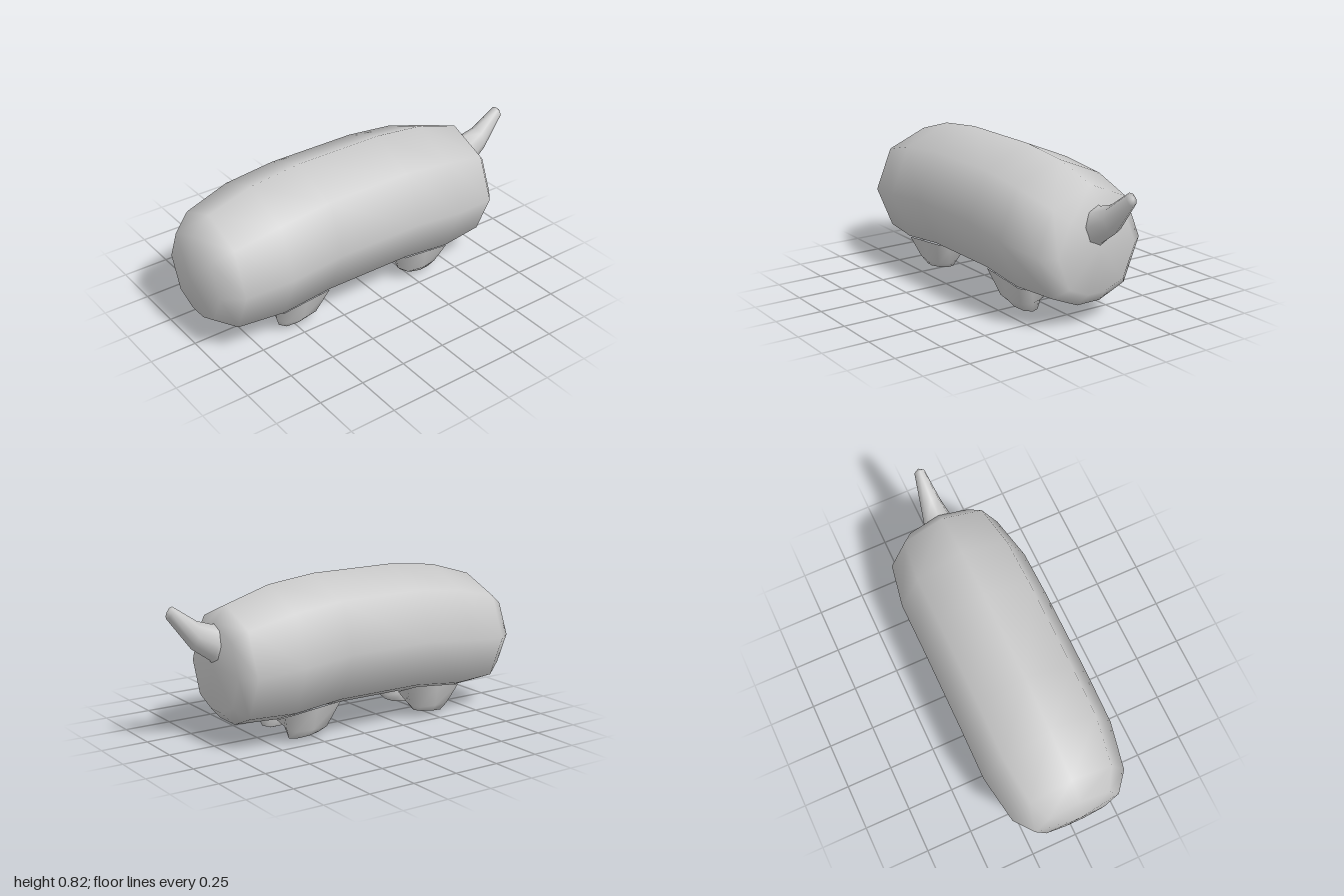
import * as THREE from 'three';

// Smooth skin over rings of [x, y, z] points, closed by a centre point at each given end.
function loft(name, rings, start, end) {
  const n = rings[0].length, pos = rings.flat(2), idx = [];
  for (let i = 0; i < rings.length - 1; i++) {
    for (let j = 0; j < n; j++) {
      const k = (j + 1) % n, a = i * n + j, b = i * n + k;
      idx.push(a, a + n, b, b, a + n, b + n);
    }
  }
  const cap = (centre, base, flip) => {
    const c = pos.length / 3;
    pos.push(...centre);
    for (let j = 0; j < n; j++) {
      const a = base + j, b = base + (j + 1) % n;
      idx.push(c, flip ? b : a, flip ? a : b);
    }
  };
  if (start) cap(start, 0, false);
  if (end) cap(end, (rings.length - 1) * n, true);
  const g = new THREE.BufferGeometry();
  g.setAttribute('position', new THREE.Float32BufferAttribute(pos, 3));
  g.setIndex(idx);
  g.computeVertexNormals();
  const mesh = new THREE.Mesh(g, new THREE.MeshStandardMaterial({ color: 0xcccccc }));
  mesh.name = name;
  return mesh;
}

// Body: octagons with the lowest corner cut flat, [z, centre height, radius]
function makeBody() {
  const sections = [
    [0.97, 0.40, 0.235], [0.87, 0.405, 0.315], [0.62, 0.435, 0.36], [0.34, 0.465, 0.36],
    [-0.15, 0.465, 0.36], [-0.42, 0.435, 0.36], [-0.67, 0.405, 0.315], [-0.735, 0.40, 0.235],
  ];
  const rings = sections.map(([z, cy, r]) => {
    const ring = [];
    for (let k = 0; k < 8; k++) {
      const a = k * Math.PI / 4;
      if (k === 6) {
        const w = 0.22 * r, y = cy - 0.91 * r;
        ring.push([-w, y, z], [w, y, z]);
      } else ring.push([r * Math.cos(a), cy + r * Math.sin(a), z]);
    }
    return ring;
  });
  return loft('body', rings, [0, 0.40, 1.0], [0, 0.43, -0.755]);
}

// Tail: tilted ovals, [top y, top z, bottom y, bottom z, half width]
function makeTail() {
  const sections = [
    [0.64, -0.71, 0.41, -0.735, 0.085], [0.63, -0.745, 0.45, -0.765, 0.078],
    [0.657, -0.83, 0.52, -0.865, 0.056], [0.745, -0.96, 0.685, -0.992, 0.028],
  ];
  const rings = sections.map(([ty, tz, by, bz, w]) =>
    Array.from({ length: 8 }, (_, k) => {
      const a = k * Math.PI / 4, t = (1 + Math.sin(a)) / 2;
      return [w * Math.cos(a), by + (ty - by) * t, bz + (tz - bz) * t];
    }));
  return loft('tail', rings, null, [0, 0.722, -0.99]);
}

// Leg: three rounded rectangles shrinking to a low foot, mirrored for each corner
function makeLeg(name, side, front) {
  const steps = [
    [0.08, 0.25, 0.34, 0.62, 1, (x, z) => 0.133 + 0.4 * (x - 0.08) - 0.1 * (z - 0.34)],
    [0.07, 0.222, 0.375, 0.60, 0.8, () => 0.065],
    [0.075, 0.19, 0.41, 0.58, 0.75, (x, z) => 0.022 + 0.1 * (x - 0.13) - 0.1 * (z - 0.49)],
  ];
  const outline = [[1, 0], [1, -1], [0, -1], [-1, -1], [-1, 0], [-1, 1], [0, 1], [1, 1]];
  const place = (x, y, z) => [side * x, y, front ? z : 0.19 - z];
  const rings = steps.map(([x0, x1, z0, z1, corner, height]) => {
    const ring = outline.map(([u, v]) => {
      const f = u && v ? corner : 1;
      const x = (x0 + x1) / 2 + u * f * (x1 - x0) / 2;
      const z = (z0 + z1) / 2 + v * f * (z1 - z0) / 2;
      return place(x, height(x, z), z);
    });
    return (side > 0) === front ? ring : ring.reverse();
  });
  return loft(name, rings, null, place(0.11, 0.002, 0.54));
}

export function createModel() {
  const model = new THREE.Group();
  model.name = 'animal';
  model.add(makeBody(), makeTail());
  for (const front of [true, false]) {
    for (const side of [1, -1]) {
      model.add(makeLeg((front ? 'front' : 'rear') + (side > 0 ? 'Left' : 'Right') + 'Leg', side, front));
    }
  }
  return model;
}
